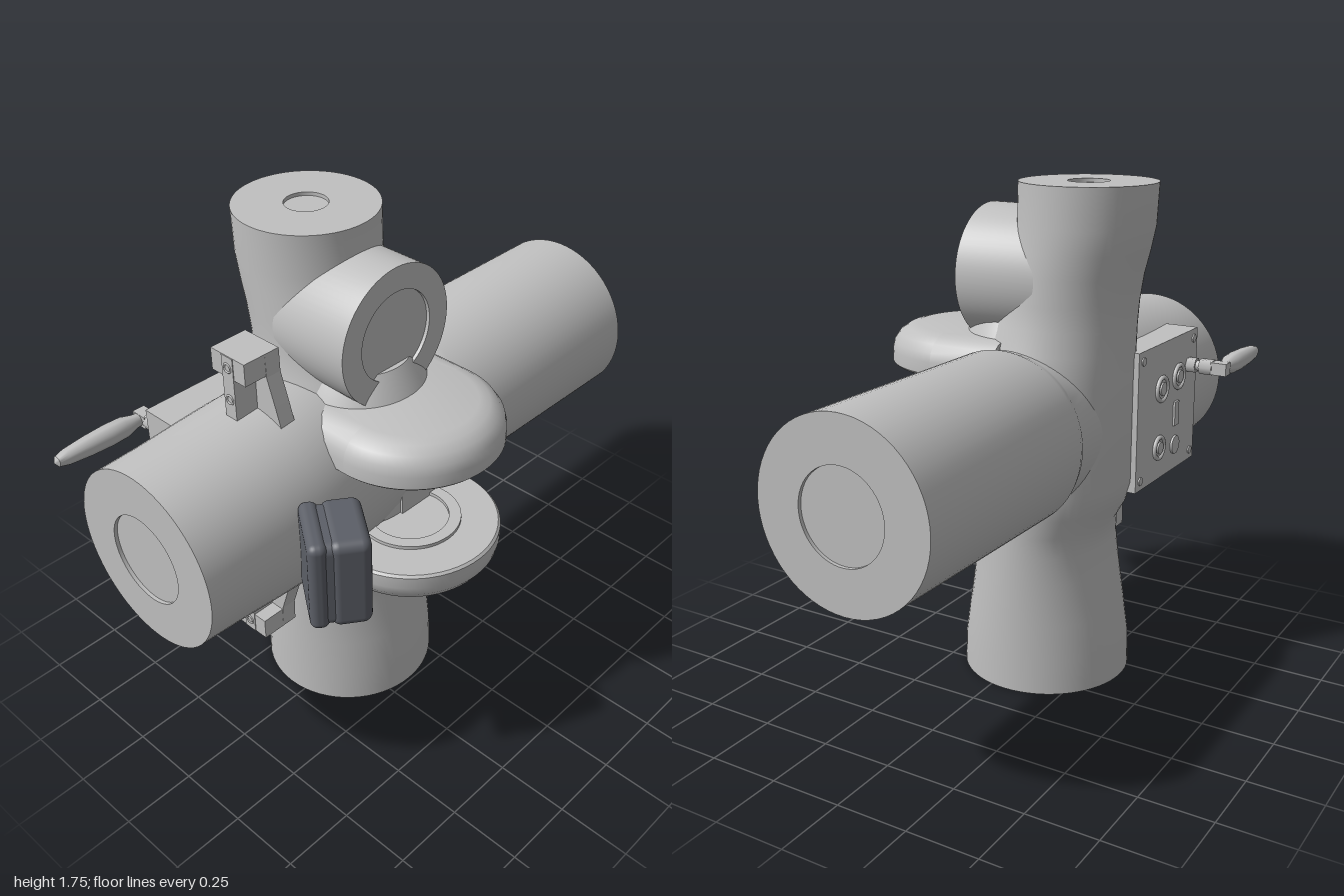
import * as THREE from 'three';
import { toCreasedNormals } from 'three/addons/utils/BufferGeometryUtils.js';
import { RoundedBoxGeometry } from 'three/addons/geometries/RoundedBoxGeometry.js';

export function createModel() {
  const model = new THREE.Group();
  model.name = 'jointHousing';

  const material = (name, color) => {
    const m = new THREE.MeshStandardMaterial({ color });
    m.name = name;
    return m;
  };
  const grey = material('lightGrey', 0xc0c0c0);
  const dark = material('darkGrey', 0x5c5f67);
  const slate = material('slateGrey', 0x737981);
  const black = material('nearBlack', 0x2c2d31);

  const add = (name, geometry, mat, x = 0, y = 0, z = 0, parent = model) => {
    const mesh = new THREE.Mesh(geometry, mat);
    mesh.name = name;
    mesh.position.set(x, y, z);
    parent.add(mesh);
    return mesh;
  };

  // Elliptical rings stacked along y: [y, centre x, radius x, radius z]
  const loft = (rings, segments = 64) => {
    const g = new THREE.LatheGeometry(rings.map(r => new THREE.Vector2(1, r[0])), segments);
    const p = g.attributes.position;
    for (let i = 0; i < p.count; i++) {
      const [y, cx, rx, rz] = rings[i % rings.length];
      p.setXYZ(i, p.getX(i) * rx + cx, y, p.getZ(i) * rz);
    }
    return toCreasedNormals(g, 0.6);
  };
  const round = (list, segments) => loft(list.map(([r, y]) => [y, 0, r, r]), segments);
  // Rings of a flat end with a shallow round recess; dir is the outward direction
  const endRings = (y, cx, r, hole, dir) => {
    const rings = [[y - dir * 0.012, cx, 0, 0], [y - dir * 0.012, cx, hole, hole],
      [y, cx, hole, hole], [y, cx, r, r]];
    return dir < 0 ? rings : rings.reverse();
  };

  // Long horizontal body, running back to front
  const body = loft([
    ...endRings(-1, 0, 0.3, 0.15, -1),
    [-0.16, 0, 0.3, 0.3], [-0.13, 0, 0.29, 0.29], [-0.1, 0, 0.275, 0.28],
    [0, 0, 0.27, 0.295], [0.15, 0, 0.28, 0.315], [0.3, 0, 0.295, 0.335],
    [0.42, 0, 0.305, 0.342], [0.55, 0, 0.31, 0.332], [0.7, 0, 0.308, 0.32],
    [0.85, 0, 0.303, 0.308],
    ...endRings(1, 0, 0.3, 0.15, 1)
  ]).rotateX(Math.PI / 2);
  add('horizontalBody', body, grey, -0.06, 0.93, 0);

  // Upright column: wide foot, narrow neck, hub and offset upper tube
  const column = loft([
    ...endRings(0, -0.06, 0.3, 0.15, -1),
    [0.12, -0.06, 0.295, 0.3], [0.25, -0.06, 0.273, 0.298], [0.4, -0.06, 0.245, 0.296],
    [0.5, -0.06, 0.232, 0.293], [0.57, -0.06, 0.235, 0.292], [0.64, -0.065, 0.27, 0.29],
    [0.72, -0.08, 0.28, 0.29], [1.1, -0.08, 0.28, 0.285], [1.2, -0.095, 0.268, 0.26],
    [1.28, -0.12, 0.247, 0.238], [1.36, -0.14, 0.233, 0.232], [1.45, -0.157, 0.23, 0.232],
    [1.53, -0.178, 0.23, 0.232], [1.61, -0.195, 0.23, 0.232],
    ...endRings(1.75, -0.2, 0.232, 0.07, 1)
  ]);
  add('uprightColumn', column, grey, 0, 0, 0.165);

  // Short upper side tube, with a saddle below it
  const stub = loft([[-0.2, 0, 0, 0], [-0.2, 0, 0.2, 0.2], [-0.12, 0, 0.232, 0.232],
    ...endRings(0.175, 0, 0.232, 0.15, 1)]).rotateZ(-Math.PI / 2);
  add('upperSideTube', stub, grey, 0, 1.43, 0.165);
  add('saddle', round([[0, 0], [0.23, 0], [0.2, 0.06], [0.16, 0.12], [0, 0.12]]),
    grey, 0.02, 1.2, 0.165);

  // Pair of side flanges, rounded on the outer face
  const edge = [[0.3, 0.008], [0.3, 0.05], [0.293, 0.08], [0.274, 0.108], [0.245, 0.128], [0.21, 0.137]];
  const flangeHalf = [[0, 0], [0.292, 0], ...edge];
  const slab = new THREE.Shape([...flangeHalf.slice(1), ...flangeHalf.slice(1).reverse().map(([a, b]) => [-a, b])]
    .map(([a, b]) => new THREE.Vector2(a, b)));
  for (const up of [1, -1]) {
    const flange = new THREE.Group();
    flange.name = up > 0 ? 'upperFlange' : 'lowerFlange';
    flange.position.set(0.235, 0.93 + up * 0.168, 0.162);
    if (up < 0) flange.rotation.x = Math.PI;
    model.add(flange);
    add('flangeDisc', round([...flangeHalf, [0, 0.14]]), grey, 0, 0, 0, flange);
    const arm = new THREE.ExtrudeGeometry(slab, { depth: 0.24, bevelEnabled: false });
    add('flangeArm', toCreasedNormals(arm.rotateY(-Math.PI / 2), 0.6), grey, 0, 0, 0, flange);
    // Raised bearing ring on the inner face
    add('bearingRing', toCreasedNormals(new THREE.LatheGeometry(
      [[0.13, 0], [0.13, -0.012], [0.17, -0.012], [0.17, 0]].map(([a, b]) => new THREE.Vector2(a, b)), 48), 0.6),
      grey, 0, 0, 0, flange);
  }
  add('hubBlock', new THREE.BoxGeometry(0.12, 0.34, 0.18), grey, 0.15, 0.93, 0.08);
  add('hubSensor', new THREE.BoxGeometry(0.08, 0.11, 0.09), slate, 0.235, 1.005, 0.125);

  // Brackets above and below the front tube
  const foot = new THREE.Shape([[-0.13, 0.29], [0.13, 0.29], [0.105, 0.37], [0.075, 0.46], [0.073, 0.54],
    [-0.073, 0.54], [-0.075, 0.46], [-0.105, 0.37]].map(([a, b]) => new THREE.Vector2(a, b)));
  for (const turn of [0, Math.PI]) {
    const bracket = new THREE.Group();
    bracket.name = turn ? 'lowerBracket' : 'upperBracket';
    bracket.position.set(-0.06, 0.93, 0);
    bracket.rotation.z = turn;
    model.add(bracket);
    add('bracketFoot', new THREE.ExtrudeGeometry(foot, { depth: 0.055, bevelEnabled: false }),
      grey, 0, 0, 0.495, bracket);
    add('bracketHead', new THREE.BoxGeometry(0.146, 0.075, 0.13), grey, 0, 0.5025, 0.565, bracket);
    add('bracketRail', new THREE.BoxGeometry(0.048, 0.25, 0.125), grey, 0, 0.414, 0.57, bracket);
    for (const y of [0.5, 0.39]) {
      add('bracketScrew', new THREE.TorusGeometry(0.014, 0.004, 6, 20), grey, 0, y, 0.632, bracket);
    }
  }

  // Angled dark sensor box
  const sensor = new THREE.Group();
  sensor.name = 'angledSensor';
  sensor.position.set(0.358, 0.93, 0.622);
  sensor.rotation.y = -0.63;
  model.add(sensor);
  add('sensorBack', new RoundedBoxGeometry(0.235, 0.315, 0.125, 4, 0.03), dark, 0, 0, -0.03, sensor);
  add('sensorSeam', new RoundedBoxGeometry(0.222, 0.302, 0.1, 3, 0.03), dark, 0, 0, 0.02, sensor);
  add('sensorFront', new RoundedBoxGeometry(0.235, 0.315, 0.06, 4, 0.025), dark, 0, 0, 0.066, sensor);
  for (const y of [-0.08, 0.08]) {
    add('sensorScrew', new THREE.CylinderGeometry(0.01, 0.01, 0.006, 16).rotateX(Math.PI / 2),
      black, 0.02, y, -0.093, sensor);
  }

  // Connector panel on the right side
  add('connectorPanel', new THREE.BoxGeometry(0.13, 0.5, 0.5), grey, -0.31, 0.93, 0.47);
  const sideDisc = (name, r, depth, y, z, mat = grey) =>
    add(name, new THREE.CylinderGeometry(r, r, depth, 24).rotateZ(Math.PI / 2), mat, -0.375 - depth / 2, y, z);
  for (const y of [0.715, 1.145]) for (const z of [0.255, 0.685]) sideDisc('panelScrew', 0.015, 0.005, y, z);
  for (const [y, z, r] of [[1.015, 0.41, 0.048], [1.03, 0.555, 0.048], [0.8, 0.4, 0.045]]) {
    sideDisc('portBase', r, 0.006, y, z);
    add('portRing', new THREE.TorusGeometry(r - 0.006, 0.008, 8, 32).rotateY(Math.PI / 2), grey, -0.38, y, z);
    sideDisc('portCore', r * 0.5, 0.012, y, z);
  }
  add('portSlot', new THREE.BoxGeometry(0.008, 0.09, 0.035), grey, -0.379, 0.895, 0.54);
  sideDisc('smallPort', 0.034, 0.008, 0.775, 0.54);

  // Antenna with elbow connector
  const antenna = new THREE.Group();
  antenna.name = 'antenna';
  antenna.position.set(0, 1.055, 0.645);
  model.add(antenna);
  const alongX = (name, r, x0, x1, sides) =>
    add(name, new THREE.CylinderGeometry(r, r, x1 - x0, sides).rotateZ(Math.PI / 2), grey, (x0 + x1) / 2, 0, 0, antenna);
  alongX('connectorNut', 0.028, -0.41, -0.37, 6);
  alongX('connectorNeck', 0.018, -0.43, -0.4, 16);
  alongX('connectorCollar', 0.03, -0.475, -0.425, 6);
  add('connectorElbow', new THREE.BoxGeometry(0.06, 0.045, 0.045), grey, -0.5, 0, 0, antenna);
  add('antennaRod', round([[0, 0], [0.02, 0], [0.024, 0.04], [0.035, 0.08], [0.037, 0.14], [0.034, 0.22],
    [0.027, 0.3], [0.018, 0.335], [0, 0.347]], 24).rotateX(Math.PI / 2), grey, -0.505, 0, 0, antenna);

  return model;
}
